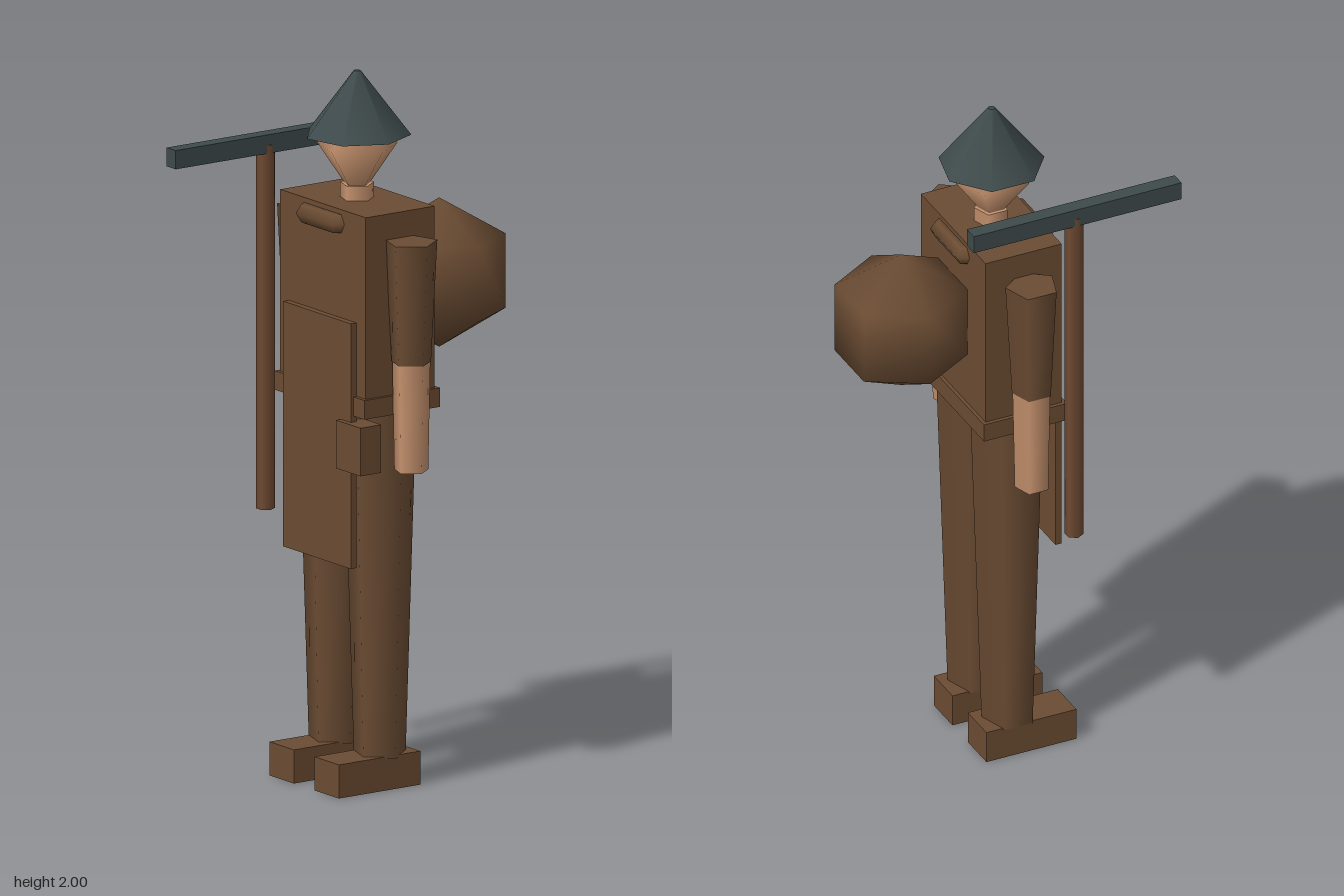
import * as THREE from 'three';

export function createModel() {
  const model = new THREE.Group();
  model.name = 'miner';

  const mat = (name, color) => {
    const m = new THREE.MeshStandardMaterial({ color });
    m.name = name;
    return m;
  };
  const cloth = mat('brownCloth', 0x6b4c33);
  const wood = mat('handleWood', 0x6e4a32);
  const skin = mat('skin', 0xc6926e);
  const steel = mat('darkSteel', 0x3e4a4b);

  const add = (name, geometry, material, parent = model) => {
    const mesh = new THREE.Mesh(geometry, material);
    mesh.name = name;
    parent.add(mesh);
    return mesh;
  };
  // Box given by its limits on each axis
  const box = (name, [x0, x1], [y0, y1], [z0, z1], material, parent) =>
    add(name, new THREE.BoxGeometry(x1 - x0, y1 - y0, z1 - z0), material, parent)
      .position.set((x0 + x1) / 2, (y0 + y1) / 2, (z0 + z1) / 2);
  // Upright tapered prism with one corner pointing to +x
  const prism = (name, x, z, [y0, y1], rBottom, rTop, sides, material, parent) => {
    const g = new THREE.CylinderGeometry(rTop, rBottom, y1 - y0, sides).rotateY(Math.PI / 2);
    add(name, g, material, parent).position.set(x, (y0 + y1) / 2, z);
  };

  const cx = -0.008, cz = -0.005; // body axis

  // Trunk
  box('torso', [-0.209, 0.194], [1.09, 1.64], [-0.122, 0.111], cloth);
  box('belt', [-0.22, 0.204], [1.073, 1.127], [-0.132, 0.122], cloth);
  box('apron', [-0.168, 0.152], [0.642, 1.335], [0.112, 0.131], cloth);
  box('beltPouch', [0.106, 0.221], [0.92, 1.056], [0.078, 0.148], cloth);
  const scarf = new THREE.TorusGeometry(0.139, 0.03, 6, 6).rotateX(Math.PI / 2);
  add('scarf', scarf, cloth).position.set(cx, 1.6, cz);
  add('backpack', new THREE.SphereGeometry(0.211, 6, 3), cloth).position.set(cx, 1.39, -0.282);

  // Limbs
  for (const side of [1, -1]) {
    const label = side > 0 ? 'left' : 'right';
    const leg = new THREE.Group();
    leg.name = label + 'Leg';
    const lx = cx + side * 0.106;
    box('boot', [lx - 0.058, lx + 0.058], [0, 0.095], [-0.101, 0.174], cloth, leg);
    prism('trouserLeg', lx, cz, [0.09, 1.08], 0.075, 0.106, 5, cloth, leg);
    const arm = new THREE.Group();
    arm.name = label + 'Arm';
    const ax = cx + side * 0.255;
    prism('sleeve', ax, cz, [1.225, 1.567], 0.057, 0.075, 5, cloth, arm);
    prism('forearm', ax, cz, [0.92, 1.226], 0.049, 0.055, 5, skin, arm);
    model.add(leg, arm);
  }

  // Head
  prism('neck', cx, cz, [1.6, 1.682], 0.049, 0.049, 5, skin);
  const skull = new THREE.SphereGeometry(1, 5, 2).rotateY(Math.PI).scale(0.116, 0.158, 0.116);
  add('head', skull, skin).position.set(cx, 1.788, cz);
  prism('helmet', cx, cz, [1.82, 2], 0.149, 0.01, 7, steel);

  // Pick carried in the right hand
  const pick = new THREE.Group();
  pick.name = 'pick';
  prism('pickHandle', -0.263, 0.122, [0.73, 1.76], 0.026, 0.026, 6, wood, pick);
  box('pickHead', [-0.285, -0.242], [1.737, 1.79], [-0.195, 0.44], steel, pick);
  model.add(pick);

  return model;
}
